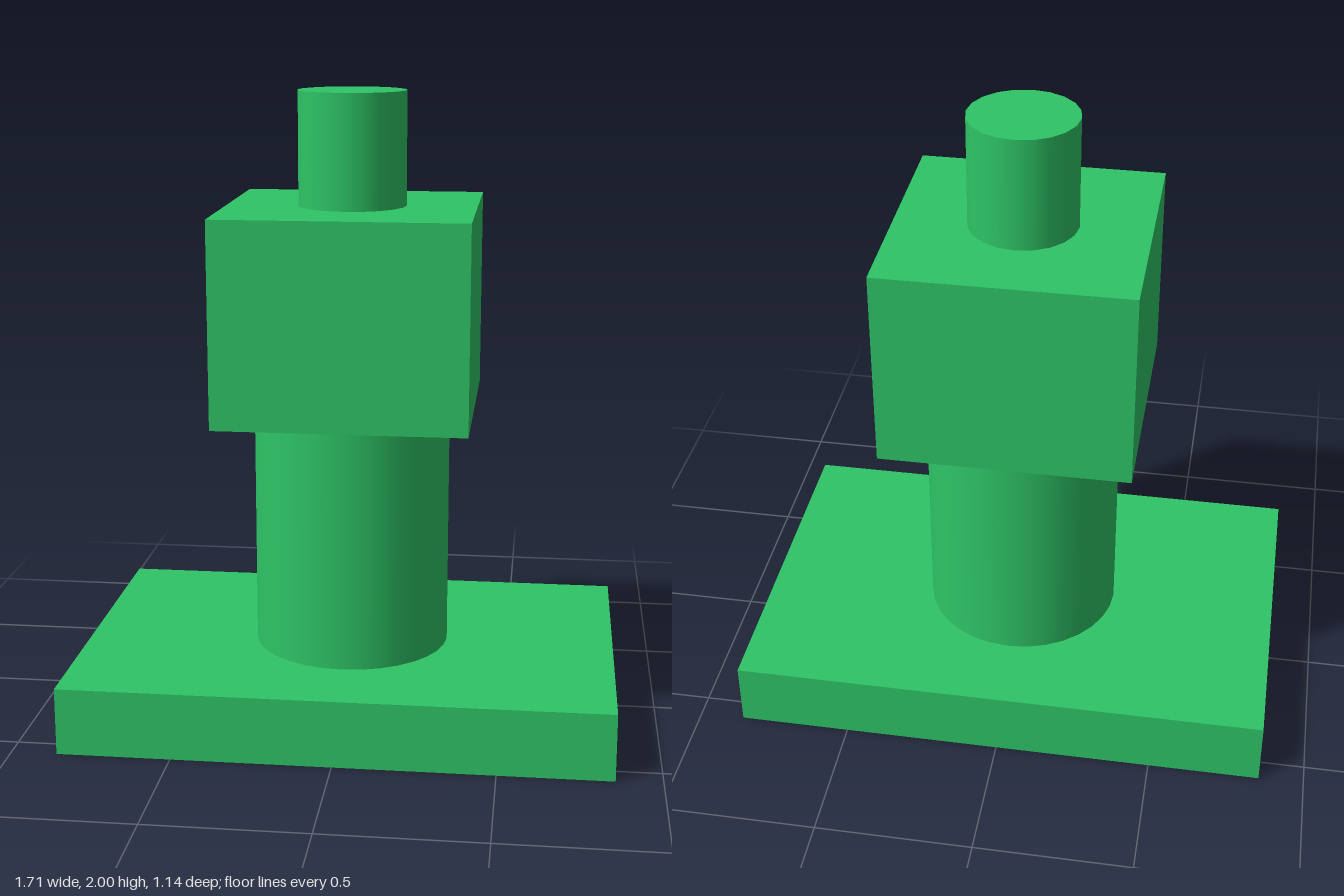
import * as THREE from 'three';

export function createModel() {
  const group = new THREE.Group();
  const material = new THREE.MeshStandardMaterial({ color: 0x2ec466 });

  // Adds a part standing on height y
  const add = (name, geometry, y, height) => {
    const mesh = new THREE.Mesh(geometry, material);
    mesh.name = name;
    mesh.position.y = y + height / 2;
    group.add(mesh);
  };
  const block = (name, width, depth, y, top) =>
    add(name, new THREE.BoxGeometry(width, top - y, depth), y, top - y);
  const post = (name, radius, y, top, sides) =>
    add(name, new THREE.CylinderGeometry(radius, radius, top - y, sides), y, top - y);

  block('basePlate', 1.714, 1.143, 0, 0.214);
  post('column', 0.314, 0.214, 1, 32);
  block('headBlock', 0.786, 0.786, 1, 1.643);
  post('topPin', 0.171, 1.643, 2, 20);

  return group;
}
